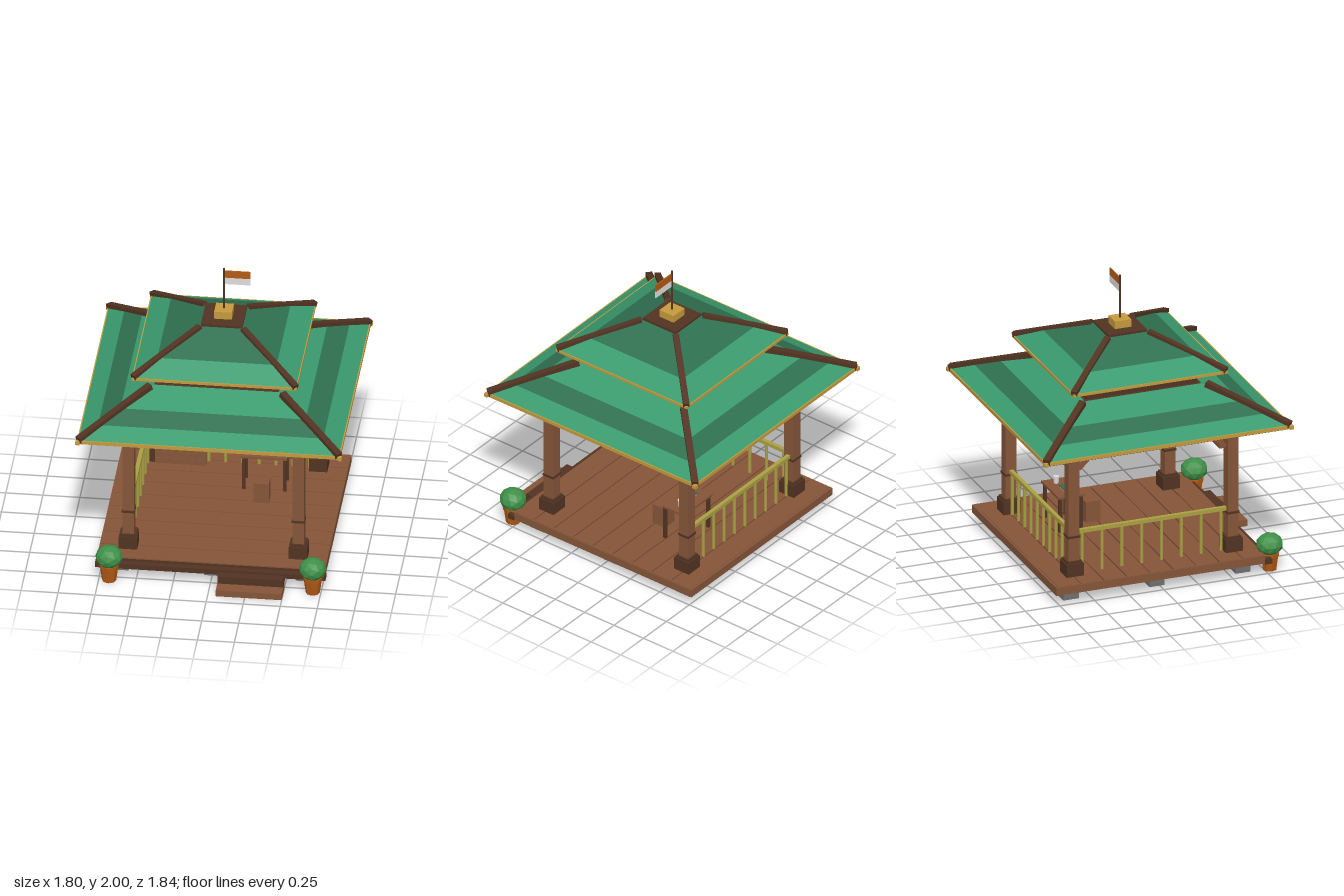
import * as THREE from 'three';

const mat = (name, color) => {
  const m = new THREE.MeshStandardMaterial({ color });
  m.name = name;
  return m;
};

export function createModel() {
  const roofGreen = mat('roof green', 0x3a9a6e);
  const darkGreen = mat('dark roof green', 0x2f7050);
  const wood = mat('wood', 0x855538);
  const darkWood = mat('dark wood', 0x523322);
  const gold = mat('gold', 0xc49a3e);
  const bamboo = mat('bamboo', 0xaaa043);
  const leaf = mat('leaf green', 0x3f9048);
  const clay = mat('orange clay', 0xb35a14);
  const white = mat('white', 0xdedede);
  const stone = mat('stone', 0x707070);

  const model = new THREE.Group();
  model.name = 'pavilion';
  // Everything is laid out around the pavilion's own centre, slightly behind the origin
  const root = new THREE.Group();
  root.name = 'structure';
  root.position.z = -0.02;
  model.add(root);

  const add = (name, geo, m, x = 0, y = 0, z = 0) => {
    const mesh = new THREE.Mesh(geo, m);
    mesh.name = name;
    mesh.position.set(x, y, z);
    root.add(mesh);
    return mesh;
  };
  // Box given by its ranges on each axis
  const box = (name, m, x0, x1, y0, y1, z0, z1) =>
    add(name, new THREE.BoxGeometry(x1 - x0, y1 - y0, z1 - z0), m, (x0 + x1) / 2, (y0 + y1) / 2, (z0 + z1) / 2);
  const facet = (geo) => {
    const g = geo.index ? geo.toNonIndexed() : geo;
    g.computeVertexNormals();
    return g;
  };
  // Bar of square section between two points
  const bar = (name, m, a, b, w, h) => {
    const A = new THREE.Vector3(...a), B = new THREE.Vector3(...b);
    const mesh = add(name, new THREE.BoxGeometry(w, h, A.distanceTo(B)), m);
    mesh.position.copy(A).add(B).multiplyScalar(0.5);
    mesh.lookAt(B.clone().add(root.position));
    mesh.quaternion.setFromRotationMatrix(new THREE.Matrix4().lookAt(B, A, new THREE.Vector3(0, 1, 0)));
    return mesh;
  };
  // Sloping square ring of roof between two half-widths
  const roofBand = (name, m, r0, y0, r1, y1) => {
    const g = new THREE.CylinderGeometry(r1 * Math.SQRT2, r0 * Math.SQRT2, y1 - y0, 4, 1, true);
    g.rotateY(Math.PI / 4);
    add(name, facet(g), m, 0, (y0 + y1) / 2, 0);
  };
  // Square frame of four strips
  const frame = (name, m, r, t, y0, y1) => {
    for (const s of [-1, 1]) {
      const a = s > 0 ? r - t : -r, b = s > 0 ? r : -r + t;
      box(name, m, -r, r, y0, y1, a, b);
      box(name, m, a, b, y0, y1, -r + t, r - t);
    }
  };
  const corners = [[-1, -1], [1, -1], [-1, 1], [1, 1]];

  // Foundation stones
  for (const x of [-0.62, 0, 0.62]) for (const z of [-0.62, 0, 0.62])
    box('foundationStone', stone, x - 0.055, x + 0.055, 0, 0.07, z - 0.055, z + 0.055);
  box('stoneCore', darkWood, -0.03, 0.03, 0.065, 0.09, -0.03, 0.03);

  // Deck: dark slab, boards on top, skirting and front sill
  box('deckSlab', darkWood, -0.75, 0.75, 0.084, 0.136, -0.745, 0.745);
  const boards = 9, pitch = 1.5 / boards;
  for (let i = 0; i < boards; i++) {
    const z = -0.75 + i * pitch;
    box('deckBoard', wood, -0.765, 0.765, 0.134, 0.143, z + 0.004, z + pitch - 0.004);
  }
  for (const s of [-1, 1])
    box('deckSkirt', wood, s * 0.76 - 0.01, s * 0.76 + 0.01, 0.085, 0.14, -0.76, 0.745);
  box('deckSkirt', wood, -0.77, 0.77, 0.085, 0.14, -0.763, -0.745);
  box('frontSill', darkWood, -0.778, 0.778, 0.08, 0.116, 0.74, 0.79);

  // Entrance steps
  box('lowerStep', wood, 0.055, 0.5, 0, 0.046, 0.76, 0.94);
  box('upperStep', darkWood, 0.055, 0.5, 0.046, 0.1, 0.74, 0.85);

  // Posts with bases, bands, capitals and braces
  const P = 0.574;
  const square = (name, m, x, z, r, y0, y1) => box(name, m, x - r, x + r, y0, y1, z - r, z + r);
  for (const [sx, sz] of corners) {
    const x = sx * P, z = sz * P;
    square('postBase', darkWood, x, z, 0.062, 0.143, 0.235);
    square('postBaseTop', darkWood, x, z, 0.053, 0.235, 0.25);
    square('post', wood, x, z, 0.039, 0.25, 1.0);
    square('postBand', darkWood, x, z, 0.044, 0.414, 0.43);
    square('capital', darkWood, x, z, 0.058, 0.995, 1.035);
    bar('brace', wood, [sx * 0.53, 0.9, z], [sx * 0.39, 1.035, z], 0.03, 0.03);
    bar('brace', wood, [x, 0.9, sz * 0.53], [x, 1.035, sz * 0.39], 0.03, 0.03);
  }
  for (const s of [-1, 1]) {
    box('ringBeam', darkWood, -0.64, 0.64, 1.03, 1.085, s * P - 0.035, s * P + 0.035);
    box('ringBeam', darkWood, s * P - 0.035, s * P + 0.035, 1.032, 1.086, -0.64, 0.64);
  }

  // Lower roof
  box('lowerCeiling', darkWood, -0.878, 0.878, 1.087, 1.11, -0.878, 0.878);
  frame('lowerEaveTrim', gold, 0.888, 0.014, 1.093, 1.118);
  roofBand('lowerRoofEave', roofGreen, 0.88, 1.118, 0.76, 1.175);
  roofBand('lowerRoofStripe', darkGreen, 0.76, 1.175, 0.625, 1.234);
  roofBand('lowerRoofTop', roofGreen, 0.625, 1.234, 0.42, 1.312);
  box('lowerRoofLid', darkWood, -0.42, 0.42, 1.3, 1.312, -0.42, 0.42);

  // Raised drum between the roofs
  box('drum', darkWood, -0.4, 0.4, 1.3, 1.42, -0.4, 0.4);
  frame('drumTrim', gold, 0.406, 0.01, 1.39, 1.403);

  // Upper roof
  box('upperCeiling', darkWood, -0.548, 0.548, 1.41, 1.428, -0.548, 0.548);
  frame('upperEaveTrim', gold, 0.557, 0.012, 1.414, 1.433);
  roofBand('upperRoofEave', roofGreen, 0.55, 1.433, 0.403, 1.512);
  roofBand('upperRoofTop', darkGreen, 0.403, 1.512, 0.13, 1.625);
  box('roofCap', darkWood, -0.14, 0.14, 1.61, 1.638, -0.14, 0.14);

  // Hip ridges
  for (const [sx, sz] of corners) {
    bar('lowerHip', darkWood, [sx * 0.88, 1.118, sz * 0.88], [sx * 0.445, 1.313, sz * 0.445], 0.046, 0.045);
    bar('upperHip', darkWood, [sx * 0.55, 1.437, sz * 0.55], [sx * 0.145, 1.619, sz * 0.145], 0.042, 0.036);
    box('hipEnd', gold, sx * 0.885 - 0.014, sx * 0.885 + 0.014, 1.09, 1.115, sz * 0.885 - 0.014, sz * 0.885 + 0.014);
  }

  // Finial, pole and flag
  box('finial', gold, -0.06, 0.06, 1.638, 1.692, -0.06, 0.06);
  add('flagPole', new THREE.CylinderGeometry(0.008, 0.008, 0.32, 8), darkWood, 0, 1.84, 0);
  box('flagUpper', clay, 0.008, 0.18, 1.93, 1.983, -0.004, 0.004);
  box('flagLower', white, 0.008, 0.18, 1.88, 1.93, -0.004, 0.004);

  // Bamboo railings along the back and the right side
  const baluster = new THREE.CylinderGeometry(0.012, 0.012, 0.3, 6);
  for (let i = 0; i < 10; i++) add('backBaluster', baluster, bamboo, -0.51 + i * 0.1133, 0.29, -P);
  for (let i = 0; i < 8; i++) add('sideBaluster', baluster, bamboo, -P, 0.29, -0.5 + i * 0.143);
  box('backRail', bamboo, -0.54, 0.54, 0.432, 0.458, -P - 0.014, -P + 0.014);
  box('sideRail', bamboo, -P - 0.014, -P + 0.014, 0.432, 0.458, -0.54, 0.54);

  // Hanging plank sign
  for (let i = 0; i < 3; i++)
    box('signPlank', wood, -0.397, -0.053, 0.803 + i * 0.045, 0.846 + i * 0.045, P - 0.014, P + 0.014);
  box('signBacking', darkWood, -0.39, -0.06, 0.808, 0.932, P - 0.01, P + 0.01);
  for (const x of [-0.365, -0.085]) box('signCord', darkWood, x - 0.003, x + 0.003, 0.93, 1.04, P - 0.003, P + 0.003);

  // Hanging green cones at the back
  const cone = facet(new THREE.ConeGeometry(0.032, 0.095, 6).rotateX(Math.PI));
  for (const x of [-0.345, -0.12, 0.105, 0.33]) {
    add('hangingCone', cone, leaf, x, 0.877, -0.54);
    box('coneCord', darkWood, x - 0.002, x + 0.002, 0.92, 1.09, -0.542, -0.538);
  }

  // Table with book and cup
  box('tableTop', wood, 0.085, 0.4, 0.39, 0.406, -0.41, -0.22);
  for (const x of [0.105, 0.382]) for (const z of [-0.39, -0.24])
    box('tableLeg', darkWood, x - 0.011, x + 0.011, 0.143, 0.39, z - 0.011, z + 0.011);
  box('bookPages', white, 0.155, 0.255, 0.406, 0.416, -0.335, -0.265);
  box('bookCover', darkGreen, 0.15, 0.26, 0.416, 0.422, -0.34, -0.26);
  add('cup', new THREE.CylinderGeometry(0.021, 0.017, 0.05, 10), white, 0.328, 0.431, -0.33);

  // Stool
  box('stool', wood, 0.19, 0.295, 0.143, 0.292, -0.17, -0.065);

  // Potted bushes at the front corners
  const pot = facet(new THREE.CylinderGeometry(0.062, 0.048, 0.105, 8));
  const rim = facet(new THREE.CylinderGeometry(0.068, 0.066, 0.025, 8));
  const bush = facet(new THREE.IcosahedronGeometry(0.093, 1).scale(1, 0.84, 1));
  for (const x of [-0.68, 0.695]) {
    add('pot', pot, clay, x, 0.0525, 0.81);
    add('potRim', rim, clay, x, 0.113, 0.81);
    add('bush', bush, leaf, x, 0.182, 0.81);
  }
  return model;
}
